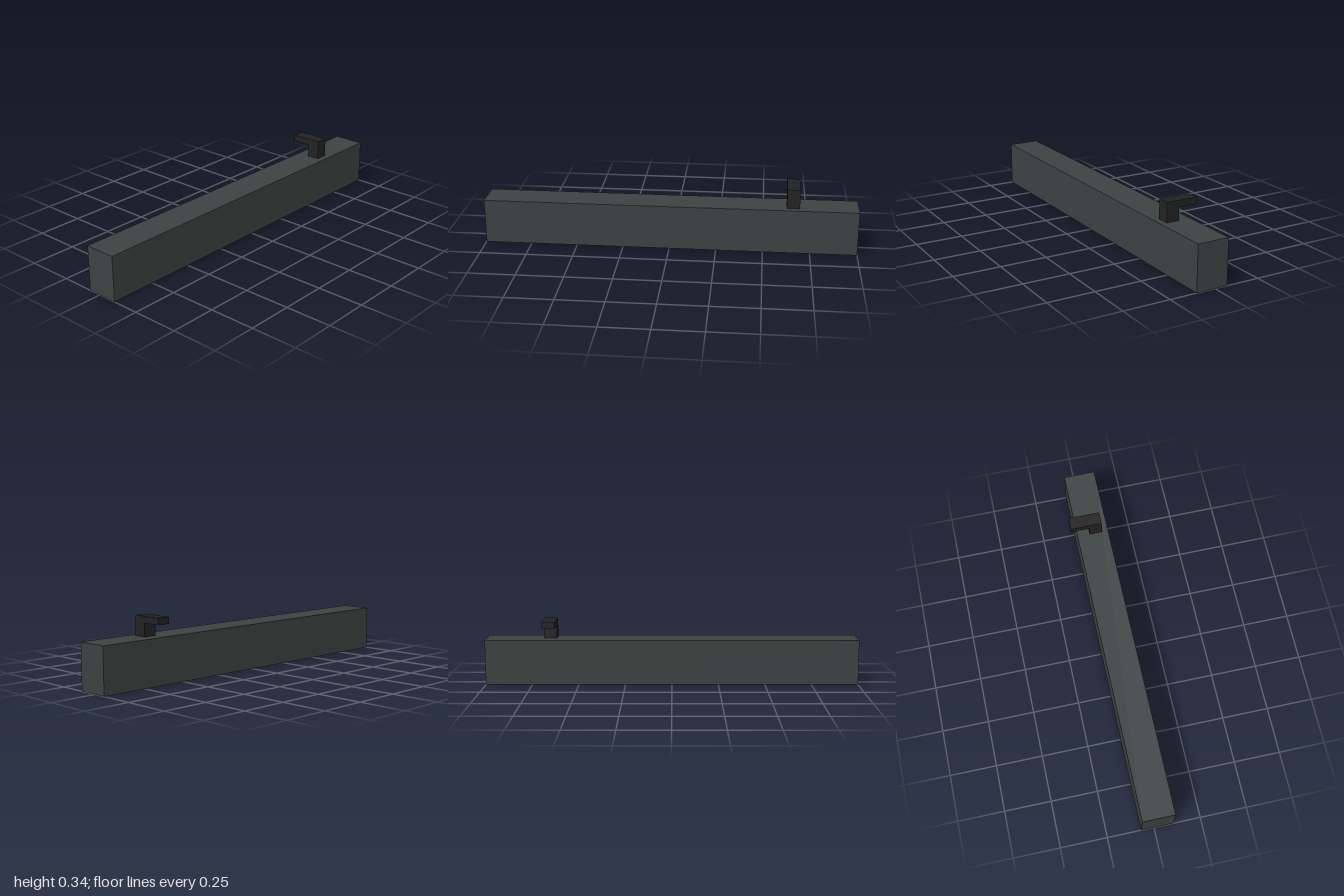
import * as THREE from 'three';

const U = 2 / 58; // grid unit: the beam is 58 units long

export function createModel() {
  const model = new THREE.Group();
  const slate = new THREE.MeshStandardMaterial({ name: 'dark slate', color: 0x3b4241 });
  const black = new THREE.MeshStandardMaterial({ name: 'soft black', color: 0x222222 });

  // Long rectangular beam
  const beam = new THREE.Mesh(new THREE.BoxGeometry(5 * U, 7 * U, 58 * U), slate);
  beam.name = 'beam';
  beam.position.set(0.5 * U, 3.5 * U, 0);
  model.add(beam);

  // L-shaped handle: short post with an arm reaching over the right side
  const profile = new THREE.Shape(
    [[0, 7], [2, 7], [2, 10], [-3, 10], [-3, 9], [0, 9]]
      .map(([x, y]) => new THREE.Vector2(x * U, y * U))
  );
  const handle = new THREE.Mesh(
    new THREE.ExtrudeGeometry(profile, { depth: 2 * U, bevelEnabled: false }),
    black
  );
  handle.name = 'handle';
  handle.position.z = -20 * U;
  model.add(handle);

  return model;
}
